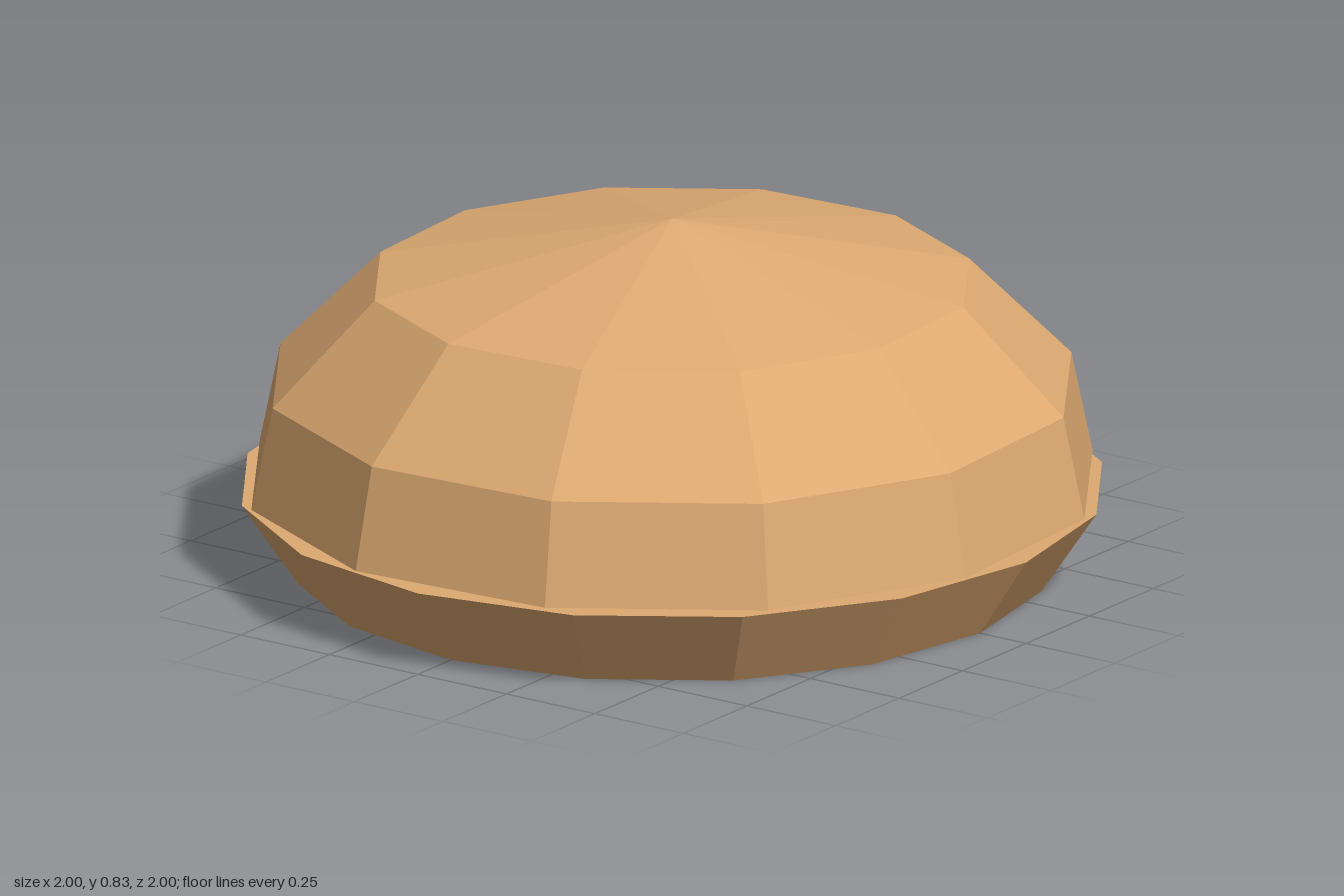
import * as THREE from 'three';

export function createModel() {
  const group = new THREE.Group();
  group.name = 'bun';
  const crust = new THREE.MeshStandardMaterial({ color: 0xdeaa72, flatShading: true });

  // Faceted solid turned from [radius, height] pairs, listed bottom to top
  const addTurned = (name, profile, sides, turn) => {
    const points = profile.map(([r, y]) => new THREE.Vector2(r, y));
    const mesh = new THREE.Mesh(new THREE.LatheGeometry(points, sides, turn), crust);
    mesh.name = name;
    group.add(mesh);
  };

  // Lower half: shallow dish with flared sides
  addTurned('bottomBun', [[0, 0], [0.87, 0], [1, 0.195], [0, 0.195]], 16, 0);

  // Upper half: twelve-sided dome, turned a little and resting just above the lower half
  addTurned('topBun', [[0, 0.204], [0.99, 0.204], [0.94, 0.445], [0.7, 0.688], [0, 0.835]],
    12, Math.PI / 2 - 0.2);

  return group;
}
